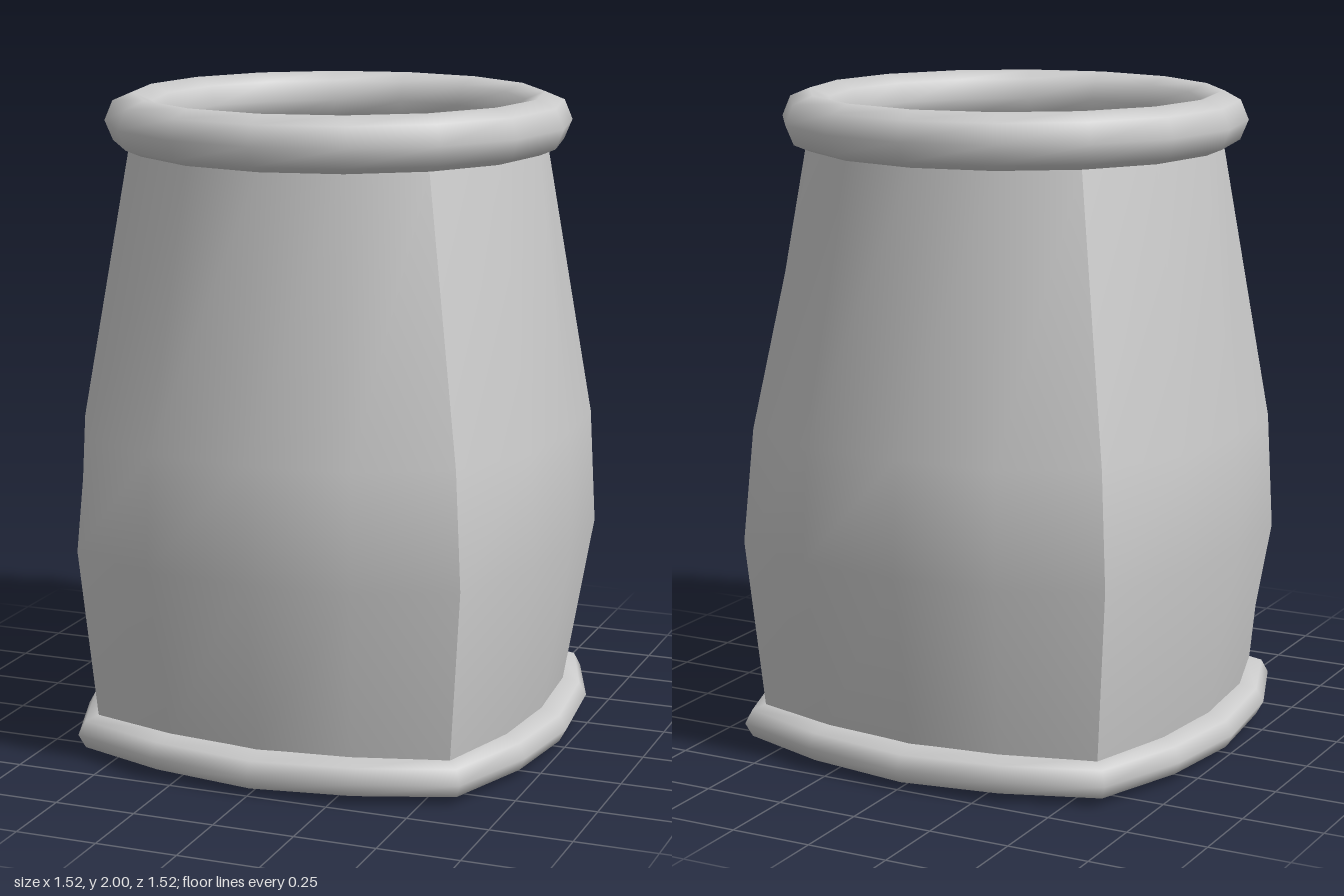
import * as THREE from 'three';

const material = new THREE.MeshStandardMaterial({ color: 0xcccccc, side: THREE.DoubleSide });

// Surface from a grid of points: rows of equal length, wound row-up / column-right
function gridGeometry(rows, closed = false) {
  const n = rows[0].length, index = [];
  const last = closed ? rows.length : rows.length - 1;
  for (let j = 0; j < last; j++) {
    const k = (j + 1) % rows.length;
    for (let i = 0; i < (closed ? n : n - 1); i++) {
      const m = (i + 1) % n;
      const a = j * n + i, b = j * n + m, c = k * n + m, d = k * n + i;
      index.push(a, b, c, a, c, d);
    }
  }
  const g = new THREE.BufferGeometry();
  g.setAttribute('position', new THREE.Float32BufferAttribute(rows.flat(2), 3));
  g.setIndex(index);
  g.computeVertexNormals();
  return g;
}

// One quarter of a rounded-square outline, facing +z:
// s = middle of the side, (mx, mz) = quarter point, c = corner
const quarter = ({ s, mx, mz, c }) => [[-c, c], [-mx, mz], [0, s], [mx, mz], [c, c]];

// Whole 16-point outline, counter-clockwise seen from above
function outline(section) {
  const points = [];
  for (let q = 0; q < 4; q++) {
    for (const [x, z] of quarter(section).slice(0, 4)) {
      let p = [x, z];
      for (let r = 0; r < q; r++) p = [p[1], -p[0]];
      points.push(p);
    }
  }
  return points;
}

export function createModel() {
  const model = new THREE.Group();
  const add = (name, geometry, parent = model) => {
    const mesh = new THREE.Mesh(geometry, material);
    mesh.name = name;
    parent.add(mesh);
    return mesh;
  };

  // Body: square-ish at the base, bulging, then round at the neck
  const levels = [
    { y: 0.05, s: 0.66, mx: 0.285, mz: 0.64, c: 0.56 },
    { y: 0.13, s: 0.675, mx: 0.29, mz: 0.655, c: 0.57 },
    { y: 0.65, s: 0.76, mx: 0.32, mz: 0.74, c: 0.61 },
    { y: 1.0, s: 0.745, mx: 0.315, mz: 0.722, c: 0.585 },
    { y: 1.83, s: 0.64, mx: 0.245, mz: 0.591, c: 0.4525 },
    { y: 1.92, s: 0.625, mx: 0.239, mz: 0.577, c: 0.442 },
  ];
  const body = new THREE.Group();
  body.name = 'body';
  model.add(body);
  const panel = gridGeometry(levels.map((l) => quarter(l).map(([x, z]) => [x, l.y, z])));
  ['frontWall', 'leftWall', 'backWall', 'rightWall'].forEach((name, i) => {
    add(name, panel, body).rotation.y = (i * Math.PI) / 2;
  });

  // Round rolled rim
  const rim = add('rim', new THREE.TorusGeometry(0.627, 0.085, 8, 16));
  rim.rotation.x = Math.PI / 2;
  rim.position.y = 1.915;

  // Rounded-square base moulding, dipping slightly at the corners
  const path = outline({ s: 0.675, mx: 0.29, mz: 0.65, c: 0.56 });
  const rings = [];
  for (let k = 0; k < 8; k++) {
    const a = (k / 8) * Math.PI * 2;
    rings.push(path.map(([x, z], i) => {
      const f = 1 + (0.08 * Math.cos(a)) / Math.hypot(x, z);
      const dip = i % 4 === 2 ? 0.008 : 0;
      return [x * f, 0.068 - dip + 0.06 * Math.sin(a), z * f];
    }));
  }
  add('baseMoulding', gridGeometry(rings, true));

  // Flat floor closing the bottom
  const floorShape = new THREE.Shape(path.map(([x, z]) => new THREE.Vector2(x, -z)));
  const floor = add('floor', new THREE.ShapeGeometry(floorShape));
  floor.rotation.x = -Math.PI / 2;
  floor.position.y = 0.06;

  return model;
}
